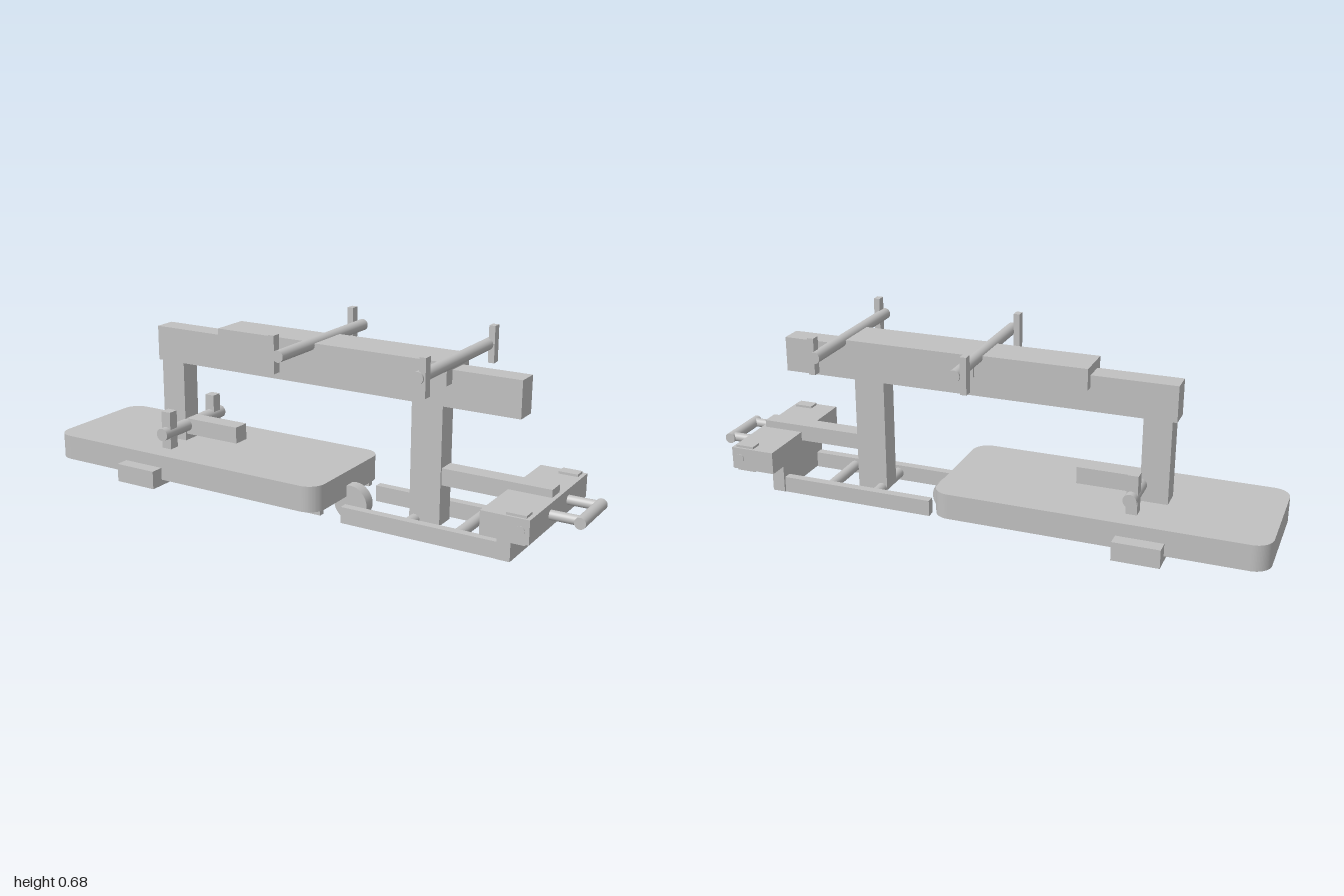
import * as THREE from 'three';

export function createModel() {
  const model = new THREE.Group();
  const grey = new THREE.MeshStandardMaterial({ color: 0xc0c0c0 });
  grey.name = 'plainGrey';

  const add = (name, geometry, x, y, z) => {
    const mesh = new THREE.Mesh(geometry, grey);
    mesh.name = name;
    mesh.position.set(x, y, z);
    model.add(mesh);
    return mesh;
  };
  // Box from its limits on each axis
  const box = (name, x0, x1, y0, y1, z0, z1) =>
    add(name, new THREE.BoxGeometry(x1 - x0, y1 - y0, z1 - z0), (x0 + x1) / 2, (y0 + y1) / 2, (z0 + z1) / 2);
  const centred = (name, x0, x1, y0, y1, half) => box(name, x0, x1, y0, y1, -half, half);
  // Matching boxes on the left and right
  const pair = (name, x0, x1, y0, y1, z0, z1) => {
    box(name + 'Front', x0, x1, y0, y1, z0, z1);
    box(name + 'Back', x0, x1, y0, y1, -z1, -z0);
  };
  // Round bar across the model
  const crossBar = (name, x, y, r, half) => {
    add(name, new THREE.CylinderGeometry(r, r, half * 2, 32), x, y, 0).rotation.x = Math.PI / 2;
  };

  // Base board with rounded corners
  const x0 = -1, x1 = 0.13, w = 0.222, r = 0.06;
  const outline = new THREE.Shape();
  outline.moveTo(x0 + r, -w);
  outline.lineTo(x1 - r, -w);
  outline.absarc(x1 - r, -w + r, r, -Math.PI / 2, 0);
  outline.absarc(x1 - r, w - r, r, 0, Math.PI / 2);
  outline.absarc(x0 + r, w - r, r, Math.PI / 2, Math.PI);
  outline.absarc(x0 + r, -w + r, r, Math.PI, Math.PI * 1.5);
  const board = new THREE.ExtrudeGeometry(outline, { depth: 0.09, bevelEnabled: false, curveSegments: 10 });
  add('baseBoard', board, 0, 0.086, 0).rotation.x = -Math.PI / 2;

  // Underside of the base
  centred('underPanel', -0.93, 0.11, 0.074, 0.088, 0.175);
  pair('hingeBlock', 0.02, 0.12, 0.066, 0.088, 0.153, 0.175);
  centred('outriggerBar', -0.67, -0.51, 0.065, 0.13, 0.27);
  crossBar('wheel', 0.145, 0.064, 0.064, 0.021);

  // Main frame
  centred('rearColumn', -0.635, -0.54, 0.17, 0.48, 0.038);
  centred('frontColumn', 0.38, 0.49, 0.06, 0.48, 0.038);
  centred('topBeam', -0.65, 0.755, 0.467, 0.591, 0.039);
  centred('narrowSleeve', -0.36, 0.03, 0.548, 0.622, 0.07);
  centred('wideSleeve', 0.03, 0.52, 0.546, 0.622, 0.08);

  // Cross bars with upright end plates
  crossBar('middleHandleBar', 0.02, 0.616, 0.02, 0.271);
  pair('middleBarPlate', -0.02, 0.002, 0.554, 0.68, 0.233, 0.264);
  crossBar('frontHandleBar', 0.515, 0.616, 0.02, 0.271);
  pair('frontBarPlate', 0.518, 0.54, 0.554, 0.68, 0.233, 0.264);

  // Clamp on the rear column
  centred('rearArm', -0.55, -0.32, 0.2, 0.259, 0.031);
  crossBar('clampBar', -0.54, 0.234, 0.023, 0.175);
  pair('clampPost', -0.56, -0.522, 0.175, 0.312, 0.11, 0.149);

  // Lower front frame
  pair('lowerRail', 0.175, 0.745, 0.038, 0.095, 0.105, 0.135);
  centred('endPlate', 0.737, 0.783, 0.041, 0.156, 0.143);
  for (const x of [0.4, 0.578]) crossBar('lowerCrossBar', x, 0.066, 0.019, 0.11);

  // Front arm and cross box
  centred('frontArm', 0.48, 0.866, 0.2, 0.258, 0.031);
  centred('crossBox', 0.72, 0.88, 0.153, 0.232, 0.24);
  pair('boxClip', 0.8, 0.866, 0.145, 0.24, 0.19, 0.232);
  crossBar('boxPin', 0.85, 0.194, 0.015, 0.243);

  // Grip at the front end
  for (const z of [-0.075, 0.075]) {
    add('gripRod', new THREE.CylinderGeometry(0.016, 0.016, 0.11, 24), 0.925, 0.195, z).rotation.z = Math.PI / 2;
  }
  crossBar('gripBar', 0.981, 0.194, 0.019, 0.096);

  return model;
}
